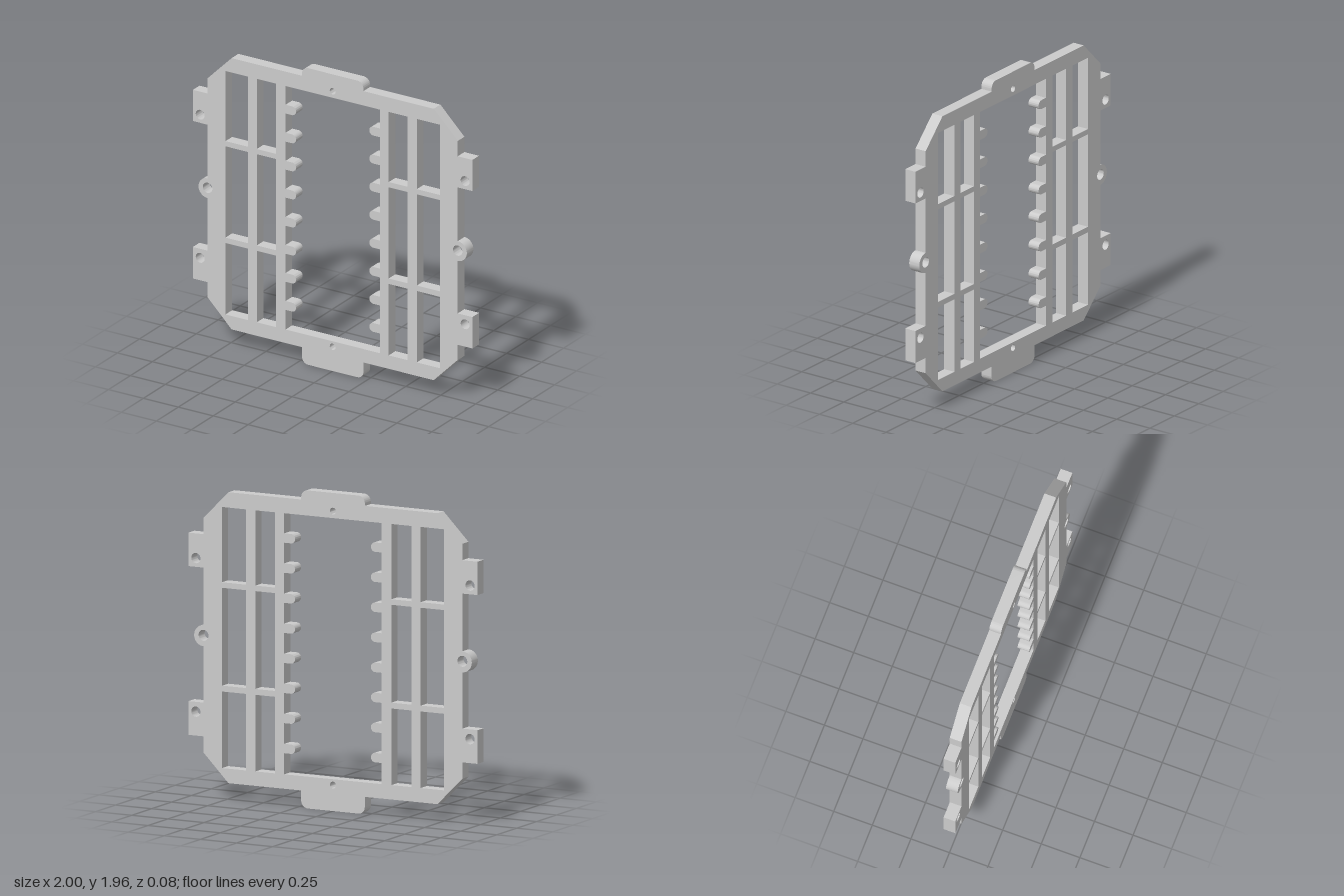
import * as THREE from 'three';
import { toCreasedNormals } from 'three/addons/utils/BufferGeometryUtils.js';

const DEPTH = 0.076;
const HALF_PI = Math.PI / 2;

// Points of a path, without coincident neighbours
const cleanPoints = (path) => path.getPoints(12).filter(
  (p, i, all) => i === 0 || p.distanceTo(all[i - 1]) > 1e-5);

// Closes a right-hand half contour (bottom to top) with its mirror image
function mirrored(half) {
  const right = cleanPoints(half);
  const left = right.filter((p) => p.x > 1e-5).reverse()
    .map((p) => new THREE.Vector2(-p.x, p.y));
  return [...right, ...left];
}

function circle(x, y, r) {
  return new THREE.Path().absarc(x, y, r, 0, Math.PI * 2, false);
}

function rectangle(x0, x1, y0, y1) {
  return new THREE.Path().moveTo(x0, y0).lineTo(x1, y0)
    .lineTo(x1, y1).lineTo(x0, y1).closePath();
}

// Outer edge: rounded tabs, chamfered corners, square lugs, round ear
function outlineHalf() {
  const r = 0.045, tab = 0.22, side = 0.895;
  const p = new THREE.Path();
  p.moveTo(0, 0);
  p.lineTo(tab - r, 0);
  p.absarc(tab - r, r, r, -HALF_PI, 0, false);
  p.lineTo(tab, 0.107);
  p.lineTo(0.723, 0.107);
  p.lineTo(side, 0.28);
  p.lineTo(side, 0.38);
  p.lineTo(1, 0.38);
  p.lineTo(1, 0.588);
  p.lineTo(side, 0.588);
  p.lineTo(side, 0.935);
  p.absarc(side, 1, 0.065, -HALF_PI, HALF_PI, false);
  p.lineTo(side, 1.42);
  p.lineTo(1, 1.42);
  p.lineTo(1, 1.626);
  p.lineTo(side, 1.626);
  p.lineTo(side, 1.727);
  p.lineTo(0.723, 1.9);
  p.lineTo(tab, 1.9);
  p.absarc(tab - r, 1.96 - r, r, 0, HALF_PI, false);
  p.lineTo(0, 1.96);
  return p;
}

// Central opening edged with round-ended teeth
function openingHalf() {
  const wall = 0.337, tip = 0.262, r = 0.029;
  const p = new THREE.Path();
  p.moveTo(0, 0.196);
  p.lineTo(wall, 0.196);
  for (let i = 0; i < 8; i++) {
    const y = 0.355 + i * 0.1853;
    p.lineTo(wall, y - r);
    p.lineTo(tip + r, y - r);
    p.absarc(tip + r, y, r, -HALF_PI, HALF_PI, true);
    p.lineTo(wall, y + r);
  }
  p.lineTo(wall, 1.805);
  p.lineTo(0, 1.805);
  return p;
}

export function createModel() {
  const plate = new THREE.Shape(mirrored(outlineHalf()));
  plate.holes.push(new THREE.Path(mirrored(openingHalf())));

  // Grid of windows on both sides
  const columns = [[-0.767, -0.607], [-0.543, -0.404], [0.401, 0.537], [0.602, 0.767]];
  const rows = [[0.196, 0.668], [0.704, 1.307], [1.341, 1.805]];
  for (const [x0, x1] of columns) {
    for (const [y0, y1] of rows) plate.holes.push(rectangle(x0, x1, y0, y1));
  }

  // Screw holes in lugs, ears and tabs
  for (const s of [-1, 1]) {
    plate.holes.push(circle(s * 0.948, 0.528, 0.032));
    plate.holes.push(circle(s * 0.895, 1.003, 0.034));
    plate.holes.push(circle(s * 0.948, 1.474, 0.032));
  }
  plate.holes.push(circle(0, 0.16, 0.021), circle(0, 1.848, 0.021));

  const geometry = new THREE.ExtrudeGeometry(plate, {
    depth: DEPTH, bevelEnabled: false, curveSegments: 16,
  });
  geometry.translate(0, 0, -DEPTH / 2);

  const frame = new THREE.Mesh(
    toCreasedNormals(geometry, 0.6),
    new THREE.MeshStandardMaterial({ color: 0xcccccc }));
  frame.name = 'mountingFrame';

  const group = new THREE.Group();
  group.name = 'framePlate';
  group.add(frame);
  return group;
}
